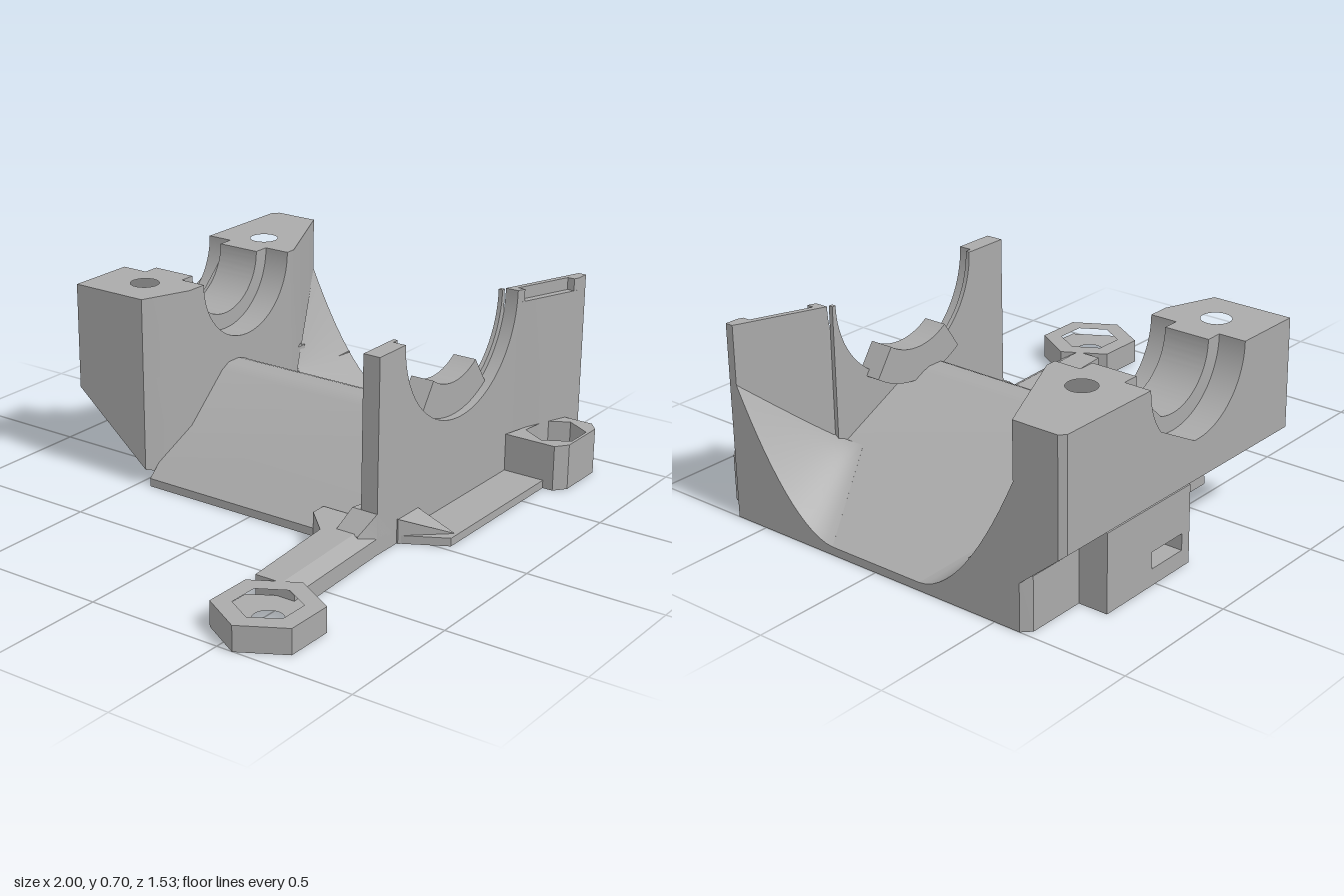
import * as THREE from 'three';
import { toCreasedNormals } from 'three/addons/utils/BufferGeometryUtils.js';

const CX = 0.33, TOP = 0.7; // axis of the half-round cradle

export function createModel() {
  const model = new THREE.Group();
  const grey = new THREE.MeshStandardMaterial({ color: 0xaaaaaa });

  function add(name, geo) {
    const mesh = new THREE.Mesh(toCreasedNormals(geo, 0.5), grey);
    mesh.name = name;
    model.add(mesh);
  }
  const circle = (x, z, r, n = 32, turn = 0) => Array.from({ length: n }, (_, i) => {
    const a = turn + i / n * Math.PI * 2;
    return [x + r * Math.cos(a), z + r * Math.sin(a)];
  });
  const flip = pts => pts.map(([x, z]) => new THREE.Vector2(x, -z));

  // Plan outline in x, z raised from y0 to y1
  function plate(pts, y0, y1, holes = []) {
    const s = new THREE.Shape(flip(pts));
    holes.forEach(h => s.holes.push(new THREE.Path(flip(h))));
    return new THREE.ExtrudeGeometry(s, { depth: y1 - y0, bevelEnabled: false })
      .rotateX(-Math.PI / 2).translate(0, y0, 0);
  }
  // Front outline in x, y extended from z0 to z1
  const slab = (shape, z0, z1) => new THREE.ExtrudeGeometry(shape,
    { depth: z1 - z0, bevelEnabled: false, curveSegments: 40 }).translate(0, 0, z0);

  // Lift the underside of the rear wall to its sloping chamfer
  function chamfer(geo) {
    const p = geo.attributes.position;
    for (let i = 0; i < p.count; i++) {
      if (p.getY(i) < 1e-5) p.setY(i, Math.max(0, 0.31 * (-0.4 - p.getZ(i)) / 0.37));
    }
    geo.computeVertexNormals();
    return geo;
  }
  // Wall with a half-round cut in its top edge
  function cradleShape(x0, x1, r) {
    const s = new THREE.Shape();
    s.moveTo(x0, 0);
    s.lineTo(x1, 0);
    s.lineTo(x1, TOP);
    s.lineTo(CX + r, TOP);
    s.absarc(CX, TOP, r, 0, Math.PI, true);
    s.lineTo(x0, TOP);
    return s;
  }
  // Closed solid through cross-sections { x, ring: [[z, y], ...] }
  function loft(sections) {
    const rings = sections.map(s => s.ring.map(([z, y]) => new THREE.Vector2(y, z)));
    if (THREE.ShapeUtils.area(rings[rings.length - 1]) < 0) rings.forEach(r => r.reverse());
    const n = rings[0].length, pos = [], idx = [];
    rings.forEach((r, k) => r.forEach(p => pos.push(sections[k].x, p.x, p.y)));
    for (let k = 0; k < rings.length - 1; k++) {
      for (let i = 0; i < n; i++) {
        const a = k * n + i, b = k * n + (i + 1) % n;
        idx.push(a, b, b + n, a, b + n, a + n);
      }
    }
    const last = (rings.length - 1) * n;
    THREE.ShapeUtils.triangulateShape(rings[0], []).forEach(([a, b, c]) => idx.push(a, c, b));
    THREE.ShapeUtils.triangulateShape(rings[rings.length - 1], [])
      .forEach(([a, b, c]) => idx.push(a + last, b + last, c + last));
    const geo = new THREE.BufferGeometry();
    geo.setAttribute('position', new THREE.Float32BufferAttribute(pos, 3));
    geo.setIndex(idx);
    geo.computeVertexNormals();
    return geo;
  }

  // Ridged floor
  const floor = new THREE.Shape([[-0.18, 0], [1, 0], [1, 0.03], [0.31, 0.36], [0.28, 0.37],
    [0.22, 0.37], [0.18, 0.35], [-0.18, 0.03]].map(p => new THREE.Vector2(...p)));
  add('floor', slab(floor, -0.45, 0.5));
  const floorY = x => 0.03 + (1 - x) * 0.48;

  // Rear wall: stepped bearing seat between two drilled blocks
  [[-0.77, -0.67, 0.25], [-0.67, -0.5, 0.19], [-0.5, -0.4, 0.25]].forEach(([z0, z1, r]) =>
    add('bearingSeat', chamfer(slab(cradleShape(0.08, 0.58, r), z0, z1))));
  const leftPlan = [[-0.18, -0.77], [0.08, -0.77], [0.08, -0.4], [0, -0.4], [-0.18, -0.47]];
  add('rearBlockUpper', plate(leftPlan, 0.4, TOP, [circle(-0.025, -0.585, 0.052)]));
  add('rearBlockLower', chamfer(plate(leftPlan, 0, 0.4, [circle(-0.025, -0.585, 0.085)])));
  const bolt = circle(0.68, -0.585, 0.052);
  add('rearBlockFlared', chamfer(plate(
    [[0.58, -0.77], [0.98, -0.77], [1, -0.75], [1, -0.58], [0.62, -0.4], [0.58, -0.4]],
    0, TOP, [bolt])));
  add('rearCornerFoot', plate([[0.75, -0.63], [0.97, -0.63], [1, -0.6], [1, -0.4], [0.75, -0.4]], 0, 0.19));

  // Rear housing with a small slot
  const box = [[0.32, -0.74], [0.75, -0.74], [0.75, -0.44], [0.32, -0.44]];
  const slotted = [[0.32, -0.74], [0.36, -0.74], [0.36, -0.62], [0.52, -0.62], [0.52, -0.74],
    ...box.slice(1)];
  add('housingBase', plate(box, 0, 0.06, [bolt]));
  add('housingSlot', plate(slotted, 0.06, 0.12, [bolt]));
  add('housingTop', plate(box, 0.12, 0.28, [bolt]));

  // Front wall, inner lip and slanted end
  add('frontWall', slab(cradleShape(-0.18, 0.69, 0.36), 0.48, 0.53));
  add('frontWallLip', slab(cradleShape(-0.18, 0.68, 0.335), 0.465, 0.481));
  add('frontWallEnd', plate([[0.69, 0.48], [1, 0.6], [1, 0.63], [0.95, 0.63], [0.69, 0.53]], 0, 0.655));
  add('frontWallEndTop', plate([[0.69, 0.48], [1, 0.6], [1, 0.63], [0.95, 0.63], [0.93, 0.622],
    [0.93, 0.595], [0.72, 0.514], [0.72, 0.541], [0.69, 0.53]], 0.655, TOP));

  // Curved support tab inside the front wall
  const tab = new THREE.Shape();
  const a0 = -Math.PI / 2 - 0.6, a1 = -Math.PI / 2 + 0.6;
  tab.absarc(CX, TOP, 0.24, a0, a1, false);
  tab.absarc(CX, TOP, 0.36, a1, a0, true);
  add('supportTab', slab(tab, 0.41, 0.5));

  // Flared fillets where the floor sweeps up into both walls
  const lerp = THREE.MathUtils.lerp;
  [[-1, 0.4, 0.58], [1, 0.47, 0.605]].forEach(([side, w0, w1]) => {
    const sections = [];
    for (let k = 0; k <= 12; k++) {
      const t = k / 12, x = lerp(0.64, 1, t);
      const zStart = lerp(0.39, 0.19, t), zWall = lerp(w0, w1, t);
      const ring = [[side * zWall, 0], [side * zStart, 0]];
      for (let i = 0; i <= 14; i++) {
        const u = i / 14;
        ring.push([side * lerp(zStart, zWall, u), floorY(x) + 0.47 * t * u ** 1.8]);
      }
      sections.push({ x, ring });
    }
    add('flaredFillet', loft(sections));
  });

  // Side arm with a hexagonal nut pocket
  const armSection = (x, z0, z1) => ({
    x, ring: [[z0, 0], [z1, 0], [z1, 0.06], [z1 - 0.05, 0.09], [z0, 0.09]],
  });
  add('arm', loft([armSection(-0.68, 0.405, 0.557), armSection(-0.28, 0.37, 0.535),
    armSection(-0.18, 0.27, 0.53), armSection(-0.12, 0.27, 0.53)]));
  add('armRamp', loft([
    { x: -0.25, ring: [[0.4, 0.05], [0.51, 0.05], [0.5, 0.085], [0.41, 0.085]] },
    { x: -0.18, ring: [[0.4, 0.05], [0.53, 0.05], [0.53, 0.15], [0.43, 0.15]] },
    { x: -0.08, ring: [[0.4, 0.05], [0.53, 0.05], [0.53, 0.15], [0.45, 0.15]] },
  ]));
  const armHex = circle(-0.82, 0.56, 0.182, 6);
  add('armEndBase', plate(armHex, 0, 0.04, [circle(-0.82, 0.56, 0.052)]));
  add('armEndPocket', plate(armHex, 0.04, 0.09, [circle(-0.82, 0.56, 0.112, 6)]));

  // Front ledge, gusset and nut boss
  add('frontLedge', plate([[-0.06, 0.53], [0.03, 0.69], [0.66, 0.69], [0.66, 0.53]], 0, 0.03));
  add('ledgeGusset', loft([
    { x: -0.06, ring: [[0.52, 0], [0.535, 0], [0.535, 0.09], [0.52, 0.09]] },
    { x: 0.07, ring: [[0.52, 0], [0.68, 0], [0.68, 0.03], [0.52, 0.09]] },
  ]));
  const boss = [[0.645, 0.53], [0.645, 0.73], [0.69, 0.765], [0.88, 0.765], [0.92, 0.73], [0.92, 0.59]];
  add('bossBase', plate(boss, 0, 0.06, [circle(0.78, 0.66, 0.052)]));
  add('bossPocket', plate(boss, 0.06, 0.17, [circle(0.78, 0.66, 0.108, 6)]));
  return model;
}
